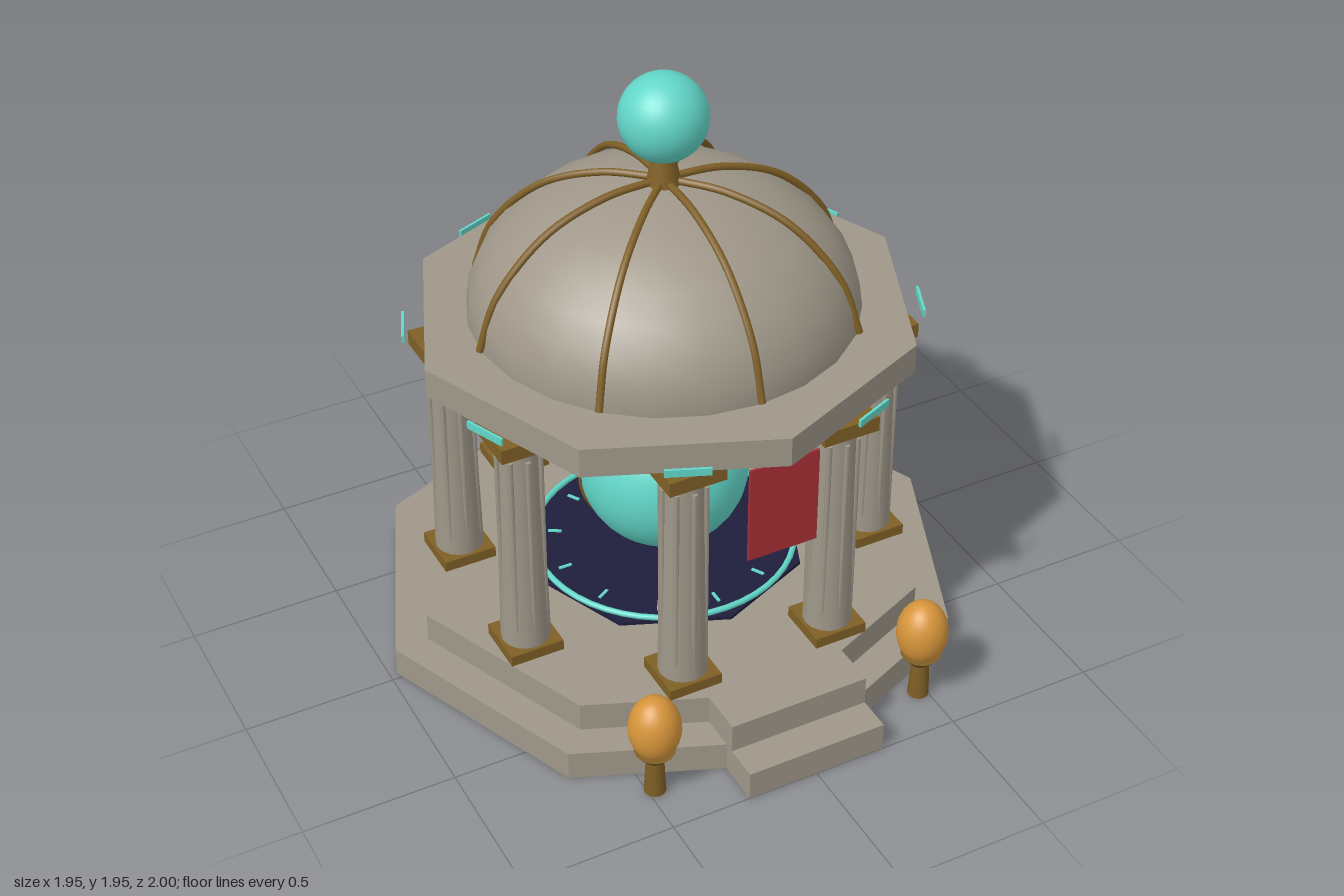
import * as THREE from 'three';

const mat = (name, color) => {
  const m = new THREE.MeshStandardMaterial({ color });
  m.name = name;
  return m;
};

export function createModel() {
  const stone = mat('stone', 0x9f9789);
  const bronze = mat('bronze', 0x7f5f26);
  const teal = mat('teal', 0x62d6c8);
  const navy = mat('navy', 0x1e1e3c);
  const red = mat('red', 0xa83035);
  const amber = mat('amber', 0xd6953a);

  const model = new THREE.Group();
  model.name = 'pavilion';
  // Everything round shares one axis, slightly behind the origin
  const core = new THREE.Group();
  core.name = 'rotunda';
  core.position.z = -0.025;
  model.add(core);

  const add = (parent, name, geo, material, x = 0, y = 0, z = 0) => {
    const mesh = new THREE.Mesh(geo, material);
    mesh.name = name;
    mesh.position.set(x, y, z);
    parent.add(mesh);
    return mesh;
  };
  // Faceted eight-sided slab standing on y0
  const octagon = (name, r, y0, h, material) => {
    const geo = new THREE.CylinderGeometry(r, r, h, 8).toNonIndexed();
    geo.computeVertexNormals();
    return add(core, name, geo, material, 0, y0 + h / 2, 0);
  };

  // Stepped base and entablature
  octagon('lowerTier', 0.975, 0, 0.1, stone);
  octagon('upperTier', 0.86, 0.1, 0.1, stone);
  octagon('entablature', 0.81, 1.05, 0.1, stone);

  // Entrance steps
  add(model, 'lowerStep', new THREE.BoxGeometry(0.475, 0.1, 0.3), stone, 0, 0.05, 0.85);
  add(model, 'upperStep', new THREE.BoxGeometry(0.475, 0.1, 0.3), stone, 0, 0.15, 0.735);

  // Floor dial with rim and hour marks
  octagon('floorDial', 0.47, 0.2, 0.012, navy);
  add(core, 'dialRim', new THREE.TorusGeometry(0.435, 0.01, 8, 48).rotateX(Math.PI / 2), teal, 0, 0.222, 0);
  for (let i = 0; i < 12; i++) {
    const a = (i * Math.PI) / 6;
    const mark = add(core, 'dialMark', new THREE.BoxGeometry(0.01, 0.006, 0.045), teal,
      0.365 * Math.sin(a), 0.214, 0.365 * Math.cos(a));
    mark.rotation.y = a;
  }

  // Great orb with its tilted band
  add(core, 'orb', new THREE.SphereGeometry(0.28, 32, 24), teal, 0, 0.52, 0);
  const band = add(core, 'orbBand', new THREE.TorusGeometry(0.282, 0.007, 8, 48), bronze, 0, 0.52, 0);
  band.rotation.set(0.11, -0.2, 0);

  // Columns
  const shaftGeo = new THREE.CylinderGeometry(0.067, 0.08, 0.78, 16);
  const fluteGeo = new THREE.CylinderGeometry(0.009, 0.009, 0.69, 6);
  const plinthGeo = new THREE.BoxGeometry(0.18, 0.037, 0.18);
  const capitalGeo = new THREE.BoxGeometry(0.19, 0.05, 0.19);
  const plateGeo = new THREE.BoxGeometry(0.14, 0.025, 0.009);
  for (let i = 0; i < 8; i++) {
    const a = ((i + 0.5) * Math.PI) / 4;
    const column = new THREE.Group();
    column.name = 'column';
    column.position.set(0.68 * Math.sin(a), 0, 0.68 * Math.cos(a));
    core.add(column);
    add(column, 'plinth', plinthGeo, bronze, 0, 0.2185, 0);
    add(column, 'shaft', shaftGeo, stone, 0, 0.617, 0);
    add(column, 'capital', capitalGeo, bronze, 0, 1.025, 0);
    for (let k = 0; k < 8; k++) {
      const b = (k * Math.PI) / 4;
      add(column, 'flute', fluteGeo, stone, 0.071 * Math.sin(b), 0.615, 0.071 * Math.cos(b));
    }
    // Glowing plate in front of each entablature face
    const plate = add(core, 'entablaturePlate', plateGeo, teal, 0.816 * Math.sin(a), 1.1, 0.816 * Math.cos(a));
    plate.rotation.y = a;
  }

  // Dome: a flattened sphere whose underside hangs inside the ring
  const domeGeo = new THREE.SphereGeometry(0.62, 24, 16);
  domeGeo.scale(1, 0.71, 1);
  add(core, 'dome', domeGeo, stone, 0, 1.15, 0);

  // Dome ribs
  const ribPath = new THREE.CatmullRomCurve3(
    [[0.63, 1.16], [0.565, 1.335], [0.4, 1.505], [0.2, 1.583], [0.02, 1.597]]
      .map(([x, y]) => new THREE.Vector3(x, y, 0)));
  const ribGeo = new THREE.TubeGeometry(ribPath, 24, 0.012, 8);
  for (let i = 0; i < 8; i++) {
    add(core, 'domeRib', ribGeo, bronze).rotation.y = (i * Math.PI) / 4;
  }

  // Finial
  add(core, 'finialNeck', new THREE.CylinderGeometry(0.034, 0.055, 0.1, 16), bronze, 0, 1.635, 0);
  add(core, 'finialOrb', new THREE.SphereGeometry(0.14, 32, 20), teal, 0, 1.81, 0);

  // Banner over the entrance
  add(model, 'banner', new THREE.BoxGeometry(0.235, 0.335, 0.009), red, 0, 0.878, 0.745);

  // Lamps either side of the steps
  const eggGeo = new THREE.SphereGeometry(0.083, 24, 16);
  eggGeo.scale(1, 1.35, 1);
  for (const side of [-1, 1]) {
    const lamp = new THREE.Group();
    lamp.name = side > 0 ? 'leftLamp' : 'rightLamp';
    lamp.position.set(side * 0.475, 0, 0.83);
    model.add(lamp);
    add(lamp, 'post', new THREE.CylinderGeometry(0.027, 0.035, 0.15, 12), bronze, 0, 0.075, 0);
    add(lamp, 'cup', new THREE.CylinderGeometry(0.065, 0.036, 0.035, 16), bronze, 0, 0.15, 0);
    add(lamp, 'flame', eggGeo, amber, 0, 0.257, 0);
  }
  return model;
}
